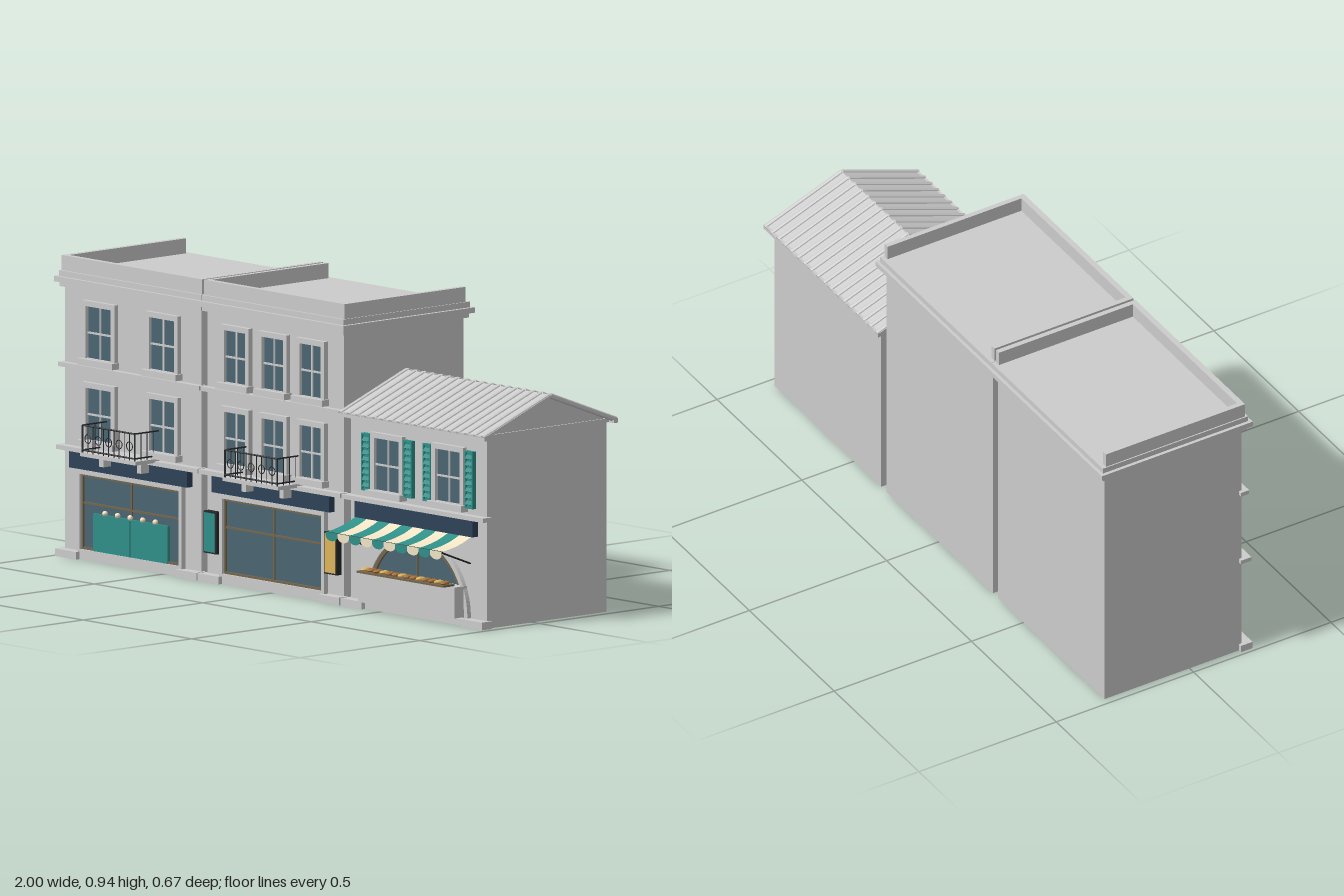
import * as THREE from 'three';

const mat = (color, side = THREE.FrontSide) => new THREE.MeshStandardMaterial({ color, side, flatShading: true });
const GREY = mat(0xcccccc), GLASS = mat(0x4a6673), NAVY = mat(0x2c4258), TEAL = mat(0x2f8f88);
const CREAM = mat(0xf0e4c4), GOLD = mat(0xdcb55c), BROWN = mat(0x75664d), IRON = mat(0x26282b), CRUST = mat(0xa8703a);
const TEAL2 = mat(0x2f8f88, THREE.DoubleSide), CREAM2 = mat(0xf0e4c4, THREE.DoubleSide);
const BACK = -0.31, FACE = 0.19;

function add(parent, name, geo, material) {
  const m = new THREE.Mesh(geo, material);
  m.name = name;
  parent.add(m);
  return m;
}
// Box given by its limits on each axis
function box(parent, name, x0, x1, y0, y1, z0, z1, material = GREY) {
  const m = add(parent, name, new THREE.BoxGeometry(x1 - x0, y1 - y0, z1 - z0), material);
  m.position.set((x0 + x1) / 2, (y0 + y1) / 2, (z0 + z1) / 2);
  return m;
}
// Round bar between two points
function bar(parent, name, a, b, r, material = IRON, sides = 6) {
  const p = new THREE.Vector3(...a), q = new THREE.Vector3(...b);
  const m = add(parent, name, new THREE.CylinderGeometry(r, r, p.distanceTo(q), sides), material);
  m.position.copy(p).add(q).multiplyScalar(0.5);
  m.quaternion.setFromUnitVectors(new THREE.Vector3(0, 1, 0), q.sub(p).normalize());
  return m;
}
function group(parent, name) {
  const g = new THREE.Group();
  g.name = name;
  parent.add(g);
  return g;
}
// Four sided frame
function frame(g, name, x0, x1, y0, y1, t, z0, z1, material) {
  box(g, name, x0, x0 + t, y0, y1, z0, z1, material);
  box(g, name, x1 - t, x1, y0, y1, z0, z1, material);
  box(g, name, x0 + t, x1 - t, y1 - t, y1, z0, z1, material);
  box(g, name, x0 + t, x1 - t, y0, y0 + t, z0, z1, material);
}

function sashWindow(parent, cx, y0, w, h) {
  const g = group(parent, 'window'), x0 = cx - w / 2, x1 = cx + w / 2;
  box(g, 'glass', x0, x1, y0, y0 + h, FACE - 0.01, FACE + 0.003, GLASS);
  frame(g, 'windowFrame', x0 - 0.016, x1 + 0.016, y0 - 0.016, y0 + h + 0.016, 0.017, FACE - 0.01, 0.205);
  box(g, 'mullion', cx - 0.003, cx + 0.003, y0, y0 + h, FACE, 0.197);
  box(g, 'transom', x0, x1, y0 + h * 0.47, y0 + h * 0.47 + 0.006, FACE, 0.197);
  box(g, 'sill', x0 - 0.022, x1 + 0.022, y0 - 0.02, y0, FACE - 0.01, 0.22);
}

function balcony(parent, cx) {
  const g = group(parent, 'balcony'), w = 0.12, y0 = 0.357, y1 = 0.443, z = 0.293;
  box(g, 'balconySlab', cx - 0.128, cx + 0.128, 0.345, 0.357, FACE, 0.296);
  for (const s of [-1, 1]) {
    box(g, 'bracket', cx + s * 0.087 - 0.01, cx + s * 0.087 + 0.01, 0.31, 0.345, FACE, 0.245);
    for (const y of [y0 + 0.008, y1]) bar(g, 'sideRail', [cx + s * w, y, FACE], [cx + s * w, y, z], 0.0025);
    for (let i = 1; i < 4; i++) bar(g, 'sideBaluster', [cx + s * w, y0, z - i * 0.026], [cx + s * w, y1, z - i * 0.026], 0.0013);
  }
  for (const y of [y0 + 0.008, y1]) bar(g, 'handrail', [cx - w, y, z], [cx + w, y, z], 0.0028);
  for (let i = 0; i <= 10; i++) {
    const x = cx - w + i * w / 5;
    bar(g, 'baluster', [x, y0, z], [x, y1, z], i % 10 ? 0.0014 : 0.0028);
    if (i % 2) add(g, 'scroll', new THREE.TorusGeometry(0.014, 0.0015, 5, 14), IRON).position.set(x, 0.402, z);
  }
}

// Walls, plinth, string course and sign board shared by every house
function house(parent, name, x0, top) {
  const g = group(parent, name), x1 = x0 + 0.628;
  box(g, 'walls', x0, x1, 0, top, BACK, FACE);
  for (const [a, b] of [[x0 - 0.012, x0 + 0.085], [x1 - 0.085, x1 + 0.012]]) {
    box(g, 'plinth', a, b, 0, 0.024, FACE - 0.01, 0.222);
  }
  box(g, 'doorStep', x0 + 0.085, x1 - 0.085, 0, 0.02, FACE - 0.01, 0.207);
  box(g, 'stringCourse', x0 - 0.012, x1 + 0.012, 0.336, 0.35, FACE - 0.01, 0.218);
  box(g, 'signBoard', x0 + 0.042, x1 - 0.042, 0.284, 0.336, FACE, 0.213, NAVY);
  return g;
}

function townHouse(parent, name, x0, windows, glassWidth) {
  const g = house(parent, name, x0, 0.895), x1 = x0 + 0.628, cx = x0 + 0.314;
  for (const y of [0.377, 0.633]) for (const dx of windows) sashWindow(g, cx + dx, y, glassWidth, 0.165);
  box(g, 'upperCourse', x0 - 0.012, x1 + 0.012, 0.595, 0.609, FACE - 0.01, 0.21);
  // Stepped cornice round all four sides
  [[0.845, 0.86, 0.012], [0.86, 0.877, 0.025], [0.877, 0.895, 0.014]].forEach(([a, b, o]) =>
    box(g, 'cornice', x0 - o, x1 + o, a, b, BACK - o, FACE + o));
  // Parapet, open at the back
  box(g, 'parapetFront', x0 - 0.01, x1 + 0.01, 0.895, 0.942, 0.177, 0.196);
  box(g, 'parapetSide', x0 - 0.01, x0 + 0.007, 0.895, 0.942, BACK, 0.177);
  box(g, 'parapetSide', x1 - 0.007, x1 + 0.01, 0.895, 0.942, BACK, 0.177);
  balcony(g, cx);
  // Shopfront
  const s = group(g, 'shopfront'), h = 0.23;
  box(s, 'shopGlass', cx - h, cx + h, 0.02, 0.27, FACE - 0.01, 0.193, GLASS);
  frame(s, 'shopSurround', cx - h - 0.012, cx + h + 0.012, 0.018, 0.282, 0.014, FACE - 0.01, 0.207);
  frame(s, 'shopFrame', cx - h, cx + h, 0.03, 0.27, 0.009, FACE, 0.2, BROWN);
  box(s, 'shopMullion', cx - 0.003, cx + 0.003, 0.03, 0.265, FACE, 0.198, BROWN);
  box(s, 'shopTransom', cx - h, cx + h, 0.175, 0.181, FACE, 0.198, BROWN);
  return g;
}

function awning(parent, x0, x1) {
  const g = group(parent, 'awning'), n = 10, w = (x1 - x0) / n;
  const curve = new THREE.QuadraticBezierCurve3(
    new THREE.Vector3(0, 0.287, 0.205), new THREE.Vector3(0, 0.258, 0.255), new THREE.Vector3(0, 0.25, 0.333));
  for (let i = 0; i < n; i++) {
    const m = i % 2 ? CREAM2 : TEAL2, x = x0 + i * w;
    const geo = new THREE.PlaneGeometry(w, 1, 1, 8), p = geo.attributes.position;
    for (let k = 0; k < p.count; k++) {
      const c = curve.getPoint(0.5 - p.getY(k));
      p.setXYZ(k, x + w / 2 + p.getX(k), c.y, c.z);
    }
    geo.computeVertexNormals();
    add(g, 'awningStripe', geo, m);
    // Scalloped valance
    const s = new THREE.Shape();
    s.moveTo(0, 0);
    s.lineTo(0, -0.01);
    s.absellipse(w / 2, -0.01, w / 2, 0.016, Math.PI, Math.PI * 2, false);
    s.lineTo(w, 0);
    add(g, 'valance', new THREE.ShapeGeometry(s, 8), m).position.set(x, 0.25, 0.333);
  }
  for (const x of [x0 + 0.025, x1 - 0.025]) bar(g, 'awningArm', [x, 0.249, 0.328], [x, 0.196, FACE], 0.0028);
  bar(g, 'awningBar', [x0, 0.249, 0.33], [x1, 0.249, 0.33], 0.0025);
}

function bakery(parent, x0) {
  const g = house(parent, 'bakeryHouse', x0, 0.597), x1 = x0 + 0.628, cx = x0 + 0.314, mid = -0.055;
  // Gable and ribbed roof
  const tri = new THREE.Shape([new THREE.Vector2(-0.25, 0), new THREE.Vector2(0.25, 0), new THREE.Vector2(0, 0.096)]);
  const gable = add(g, 'gable', new THREE.ExtrudeGeometry(tri, { depth: 0.628, bevelEnabled: false }), GREY);
  gable.rotation.y = Math.PI / 2;
  gable.position.set(x0, 0.605, mid);
  box(g, 'wallPlate', x0 - 0.005, x1 + 0.005, 0.595, 0.607, BACK - 0.005, FACE + 0.005);
  const rx0 = x0 - 0.022, rx1 = x1 + 0.027, run = 0.278, rise = 0.105, len = Math.hypot(run, rise);
  for (const s of [-1, 1]) {
    box(g, 'eave', rx0, rx1, 0.594, 0.609, mid + s * 0.27 - 0.009, mid + s * 0.27 + 0.009);
    const slope = group(g, 'roofSlope');
    slope.position.set((rx0 + rx1) / 2, 0.602 + rise / 2, mid + s * run / 2);
    slope.rotation.x = s * Math.atan2(rise, run);
    add(slope, 'roofSheet', new THREE.BoxGeometry(rx1 - rx0, 0.008, len), GREY);
    for (let i = 0; i < 18; i++) {
      const rib = add(slope, 'roofRib', new THREE.CylinderGeometry(0.009, 0.009, len, 8), GREY);
      rib.rotation.x = Math.PI / 2;
      rib.position.set((i - 8.5) * 0.0387, 0.001, 0);
    }
  }
  // Windows with louvred shutters
  for (const wx of [0.52, 0.802]) {
    sashWindow(g, wx, 0.377, 0.115, 0.165);
    for (const s of [-1, 1]) {
      const sh = group(g, 'shutter'), c = wx + s * 0.097;
      frame(sh, 'shutterFrame', c - 0.019, c + 0.019, 0.37, 0.55, 0.005, FACE, 0.204, TEAL);
      box(sh, 'shutterPanel', c - 0.015, c + 0.015, 0.374, 0.546, FACE, 0.198, TEAL);
      for (let i = 0; i < 8; i++) {
        const slat = box(sh, 'louvre', c - 0.015, c + 0.015, 0.381 + i * 0.0205, 0.394 + i * 0.0205, 0.199, 0.203, TEAL);
        slat.rotation.x = -0.45;
      }
    }
  }
  // Arched shop window
  const arch = (r) => {
    const s = new THREE.Shape();
    s.absarc(0, 0, r, 0, Math.PI, false);
    return s;
  };
  const ring = (ro, ri) => {
    const s = arch(ro);
    s.lineTo(-ri, 0);
    s.absarc(0, 0, ri, Math.PI, 0, true);
    return s;
  };
  const parts = [['archGlass', arch(0.222), 0.004, GLASS], ['archSurround', ring(0.24, 0.225), 0.015, GREY],
    ['archFrame', ring(0.226, 0.213), 0.011, BROWN]];
  for (const [name, shape, depth, m] of parts) {
    add(g, name, new THREE.ExtrudeGeometry(shape, { depth, bevelEnabled: false, curveSegments: 28 }), m).position.set(cx, 0.025, FACE);
  }
  box(g, 'archMullion', cx - 0.003, cx + 0.003, 0.025, 0.24, FACE, 0.198, BROWN);
  // Counter with a shelf of loaves
  box(g, 'counter', cx - 0.222, cx + 0.222, 0.027, 0.124, FACE, 0.243);
  box(g, 'breadShelf', cx - 0.2, cx + 0.2, 0.124, 0.13, 0.222, 0.27, BROWN);
  for (let i = 0; i < 14; i++) {
    const loaf = add(g, 'loaf', new THREE.SphereGeometry(1, 10, 6), i % 3 ? CRUST : GOLD);
    loaf.scale.set(0.0115, 0.007, 0.019);
    loaf.position.set(cx - 0.182 + i * 0.028, 0.134, 0.246);
  }
  awning(g, 0.383, 0.917);
}

export function createModel() {
  const root = new THREE.Group();
  root.name = 'shopRow';

  // Left house with a serving counter and lamps
  const cafe = townHouse(root, 'cafeHouse', -0.976, [-0.146, 0.146], 0.118), cx = -0.662;
  box(cafe, 'servingCounter', cx - 0.172, cx - 0.002, 0.032, 0.15, FACE, 0.203, TEAL);
  box(cafe, 'servingCounter', cx + 0.002, cx + 0.172, 0.032, 0.15, FACE, 0.203, TEAL);
  for (let i = -2; i <= 2; i++) {
    add(cafe, 'lamp', new THREE.SphereGeometry(0.009, 12, 8), CREAM).position.set(cx + i * 0.058, 0.156, 0.203);
  }

  // Middle house with a display case either side
  const gallery = townHouse(root, 'galleryHouse', -0.319, [-0.174, 0, 0.174], 0.1);
  for (const [x, m] of [[-0.285, TEAL], [0.27, GOLD]]) {
    box(gallery, 'displayCase', x - 0.029, x + 0.029, 0.09, 0.222, FACE, 0.211, IRON);
    box(gallery, 'displayPanel', x - 0.024, x + 0.024, 0.095, 0.217, FACE, 0.214, m);
  }

  bakery(root, 0.341);
  return root;
}
